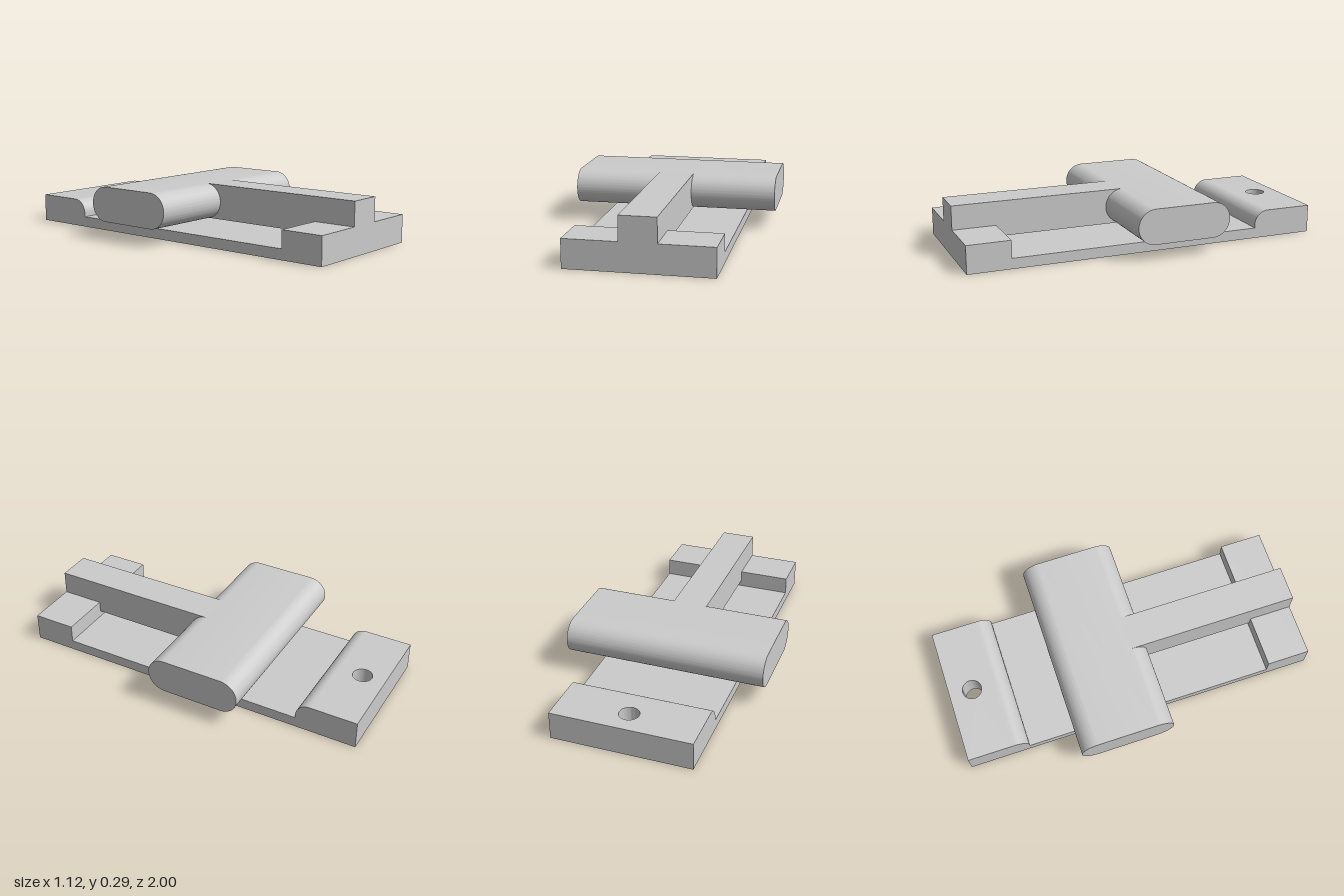
import * as THREE from 'three';
import { toCreasedNormals } from 'three/addons/utils/BufferGeometryUtils.js';

const HALF_WIDTH = 0.385; // base half width
const FLOOR = 0.058;      // thickness of the base plate
const BLOCK = 0.155;      // height of the end blocks
const BAR_R = 0.097;      // radius of the rounded bar edges
const BAR_Y = 0.19;       // centre height of the bar
const SPLIT = -0.75;      // where the drilled block meets the plate

export function createModel() {
  const group = new THREE.Group();
  const material = new THREE.MeshStandardMaterial({ color: 0xcccccc });

  const extrude = (shape, depth) =>
    new THREE.ExtrudeGeometry(shape, { depth, bevelEnabled: false, curveSegments: 24 });

  const add = (name, geometry) => {
    const mesh = new THREE.Mesh(toCreasedNormals(geometry, 0.6), material);
    mesh.name = name;
    group.add(mesh);
  };

  // Side profile drawn as (z, y), extruded across x and centred
  const acrossX = (shape, halfWidth) =>
    extrude(shape, halfWidth * 2).rotateY(-Math.PI / 2).translate(halfWidth, 0, 0);

  // Base plate with front block and rounded nose of the rear block
  const noseR = 0.078;
  const noseZ = -0.656 - noseR;
  const base = new THREE.Shape();
  base.moveTo(SPLIT, 0);
  base.lineTo(1, 0);
  base.lineTo(1, BLOCK);
  base.lineTo(0.76, BLOCK);
  base.lineTo(0.76, FLOOR);
  base.lineTo(noseZ + noseR, FLOOR);
  base.absarc(noseZ, BLOCK - noseR, noseR, 0, Math.PI / 2, false);
  base.lineTo(SPLIT, BLOCK);
  base.closePath();
  add('basePlate', acrossX(base, HALF_WIDTH));

  // Rear block with a vertical through hole, drawn as (x, z)
  const rear = new THREE.Shape([
    new THREE.Vector2(-HALF_WIDTH, -1),
    new THREE.Vector2(HALF_WIDTH, -1),
    new THREE.Vector2(HALF_WIDTH, SPLIT),
    new THREE.Vector2(-HALF_WIDTH, SPLIT),
  ]);
  rear.holes.push(new THREE.Path().absarc(0, -0.87, 0.054, 0, Math.PI * 2, true));
  add('rearBlock', extrude(rear, BLOCK).rotateX(Math.PI / 2).translate(0, BLOCK, 0));

  // Crossbar with fully rounded front and back edges
  const barFront = 0.13 - BAR_R;
  const barBack = -0.4 + BAR_R;
  const bar = new THREE.Shape();
  bar.absarc(barFront, BAR_Y, BAR_R, -Math.PI / 2, Math.PI / 2, false);
  bar.absarc(barBack, BAR_Y, BAR_R, Math.PI / 2, Math.PI * 1.5, false);
  bar.closePath();
  add('crossbar', acrossX(bar, 0.56));

  // Stem from the front block to the crossbar, stepped over the block
  const top = BAR_Y + BAR_R;
  const bottom = BAR_Y - BAR_R;
  const stem = new THREE.Shape([
    new THREE.Vector2(barFront, bottom),
    new THREE.Vector2(0.76, bottom),
    new THREE.Vector2(0.76, BLOCK),
    new THREE.Vector2(1, BLOCK),
    new THREE.Vector2(1, top),
    new THREE.Vector2(barFront, top),
  ]);
  add('stem', acrossX(stem, 0.097));

  return group;
}
